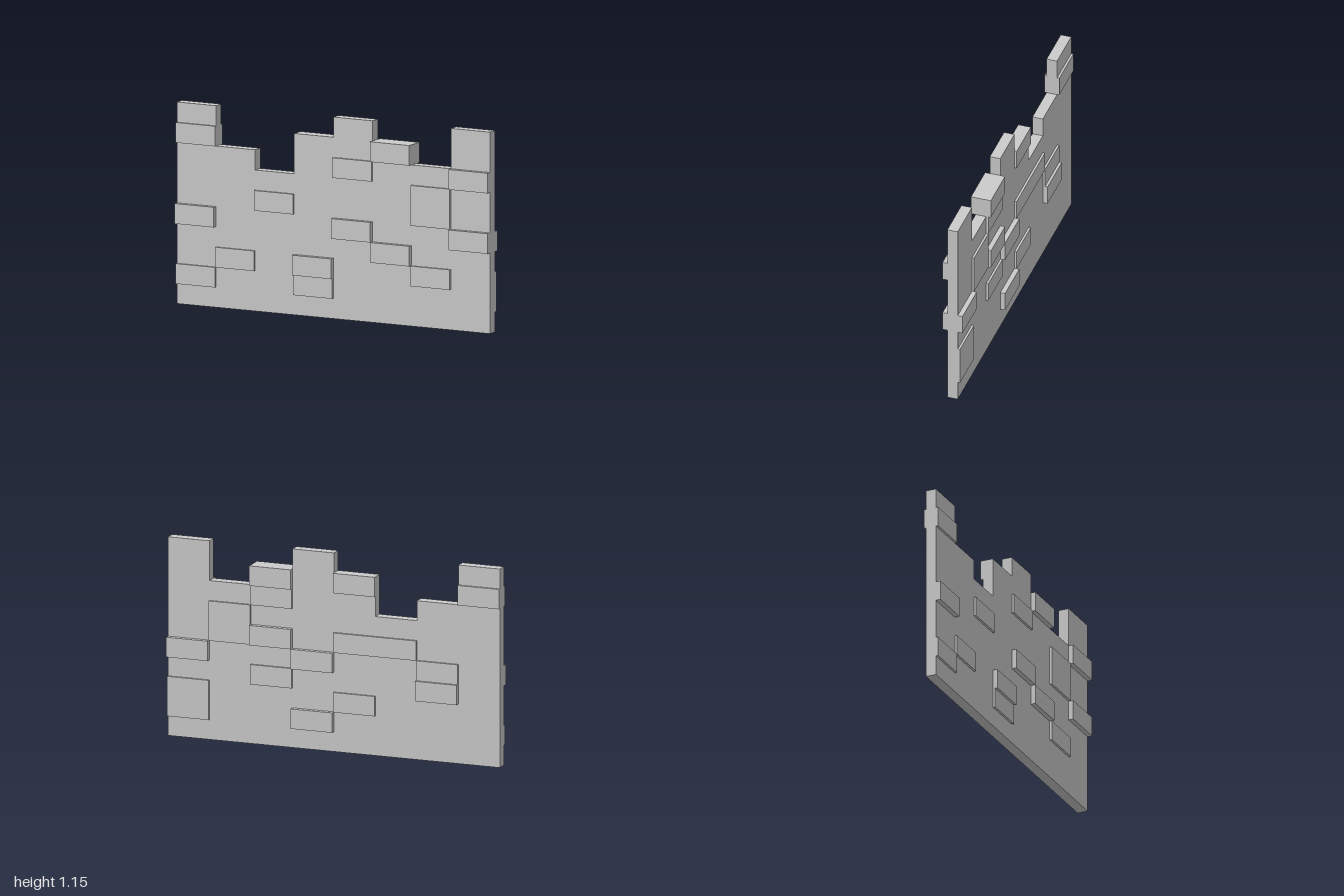
import * as THREE from 'three';

const COL = 0.25, ROW = 0.1146;   // one brick
const WALL = 0.031;               // half thickness of the wall
const LOW = 0.044, HIGH = 0.059;  // how far bricks reach from the centre plane

// Wall height of each column, in bricks, from -x to +x
const HEIGHTS = [10, 8, 7, 9, 10, 9, 8, 10];

// Raised bricks: [column, row, reach, columns wide, rows high]
const FRONT = [
  [0, 8, LOW], [0, 4, HIGH], [0, 1, LOW],
  [1, 2, LOW], [2, 5, LOW],
  [3, 2, HIGH], [3, 1, LOW],
  [4, 7, LOW], [4, 4, HIGH],
  [5, 8, HIGH], [5, 3, HIGH],
  [6, 5, LOW, 1, 2], [6, 2, LOW],
  [7, 7, HIGH], [7, 4, HIGH],
];
const BACK = [
  [0, 8, LOW], [1, 4, LOW], [1, 3, HIGH],
  [2, 5, LOW, 2, 1], [3, 8, LOW], [3, 2, LOW],
  [4, 4, HIGH], [4, 1, HIGH],
  [5, 8, HIGH], [5, 7, LOW], [5, 5, HIGH], [5, 3, LOW],
  [6, 5, LOW, 1, 2],
  [7, 4, HIGH], [7, 1, LOW, 1, 2],
];

export function createModel() {
  const group = new THREE.Group();
  group.name = 'ruinedBrickWall';
  const material = new THREE.MeshStandardMaterial({ color: 0xcccccc, flatShading: true });

  // Wall slab with a broken, stepped top
  const outline = new THREE.Shape();
  outline.moveTo(-1, 0);
  outline.lineTo(1, 0);
  for (let c = HEIGHTS.length - 1; c >= 0; c--) {
    outline.lineTo(-1 + (c + 1) * COL, HEIGHTS[c] * ROW);
    outline.lineTo(-1 + c * COL, HEIGHTS[c] * ROW);
  }
  outline.closePath();
  const slab = new THREE.ExtrudeGeometry(outline, { depth: 2 * WALL, bevelEnabled: false });
  slab.translate(0, 0, -WALL);
  const wall = new THREE.Mesh(slab, material);
  wall.name = 'wall';
  group.add(wall);

  // Bricks standing out from one face of the wall
  function addBricks(list, side, name) {
    const bricks = new THREE.Group();
    bricks.name = name;
    for (const [col, row, reach, wide = 1, high = 1] of list) {
      const geometry = new THREE.BoxGeometry(wide * COL, high * ROW, reach - WALL);
      const brick = new THREE.Mesh(geometry, material);
      brick.name = 'brick';
      brick.position.set(-1 + (col + wide / 2) * COL, (row + high / 2) * ROW, side * (reach + WALL) / 2);
      bricks.add(brick);
    }
    group.add(bricks);
  }
  addBricks(FRONT, 1, 'frontBricks');
  addBricks(BACK, -1, 'backBricks');

  return group;
}
